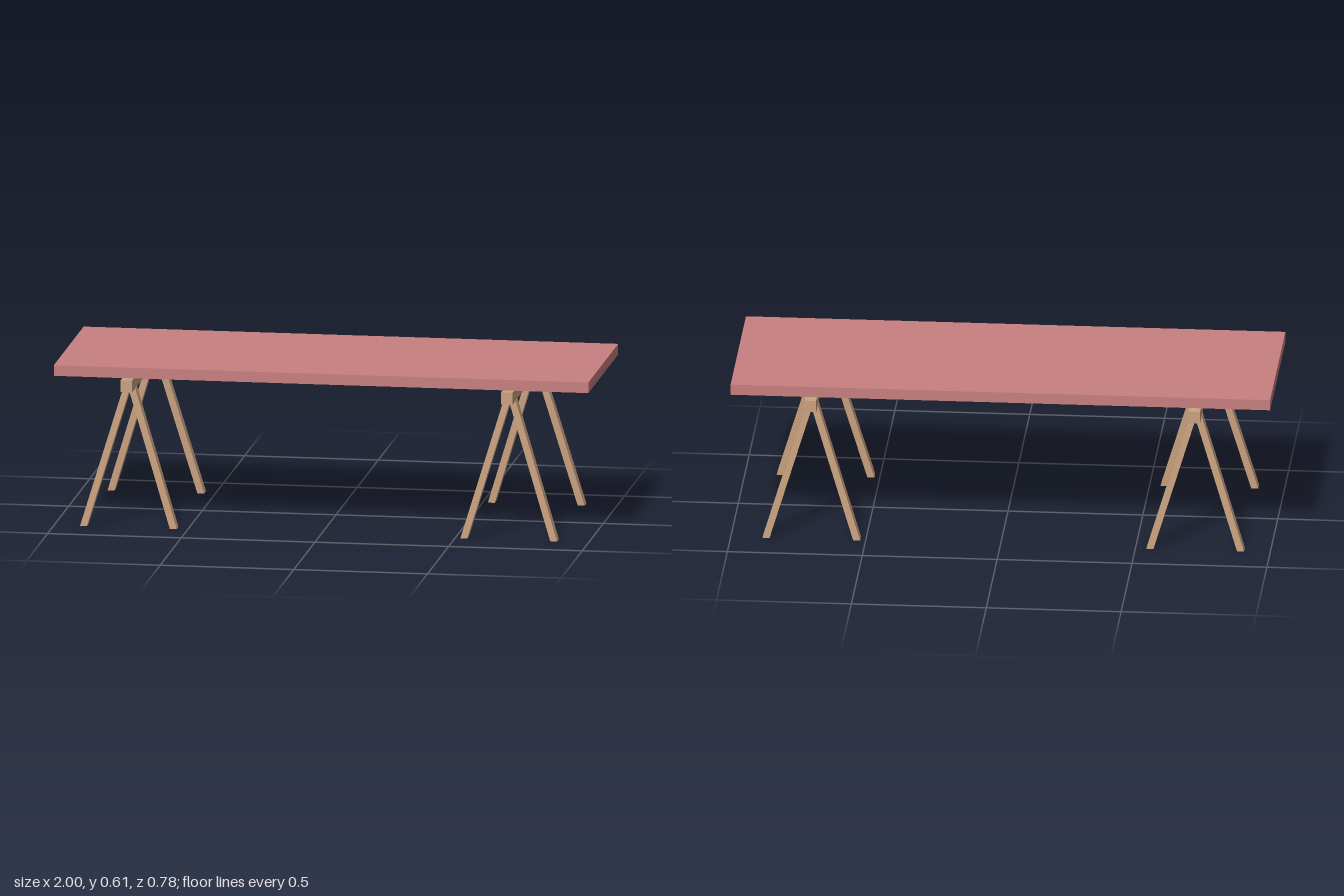
import * as THREE from 'three';

const tablePaint = new THREE.MeshStandardMaterial({ name: 'dusty red', color: 0xc88080 });
const wood = new THREE.MeshStandardMaterial({ name: 'light wood', color: 0xcca380 });

function box(name, w, h, d, material) {
  const mesh = new THREE.Mesh(new THREE.BoxGeometry(w, h, d), material);
  mesh.name = name;
  return mesh;
}

// Splayed leg: a box sheared so both ends stay level
function leg(sx, sz) {
  const height = 0.521;
  const mesh = box('leg', 0.026, height, 0.043, wood);
  const geo = mesh.geometry.translate(0, height / 2, 0).toNonIndexed();
  const p = geo.attributes.position;
  for (let i = 0; i < p.count; i++) {
    const t = p.getY(i) / height;
    p.setX(i, p.getX(i) + sx * THREE.MathUtils.lerp(0.168, 0.01, t));
    p.setZ(i, p.getZ(i) + sz * THREE.MathUtils.lerp(0.326, 0.305, t));
  }
  geo.computeVertexNormals();
  mesh.geometry = geo;
  return mesh;
}

// Trestle: crossbeam on two pairs of legs
function trestle(name, x) {
  const group = new THREE.Group();
  group.name = name;
  group.position.x = x;
  const beam = box('crossbeam', 0.043, 0.045, 0.784, wood);
  beam.position.y = 0.5425;
  group.add(beam);
  for (const sx of [-1, 1]) for (const sz of [-1, 1]) group.add(leg(sx, sz));
  return group;
}

export function createModel() {
  const model = new THREE.Group();
  model.name = 'trestleTable';
  const top = box('tabletop', 2, 0.04, 0.707, tablePaint);
  top.position.y = 0.585;
  model.add(top, trestle('rightTrestle', -0.722), trestle('leftTrestle', 0.701));
  return model;
}
